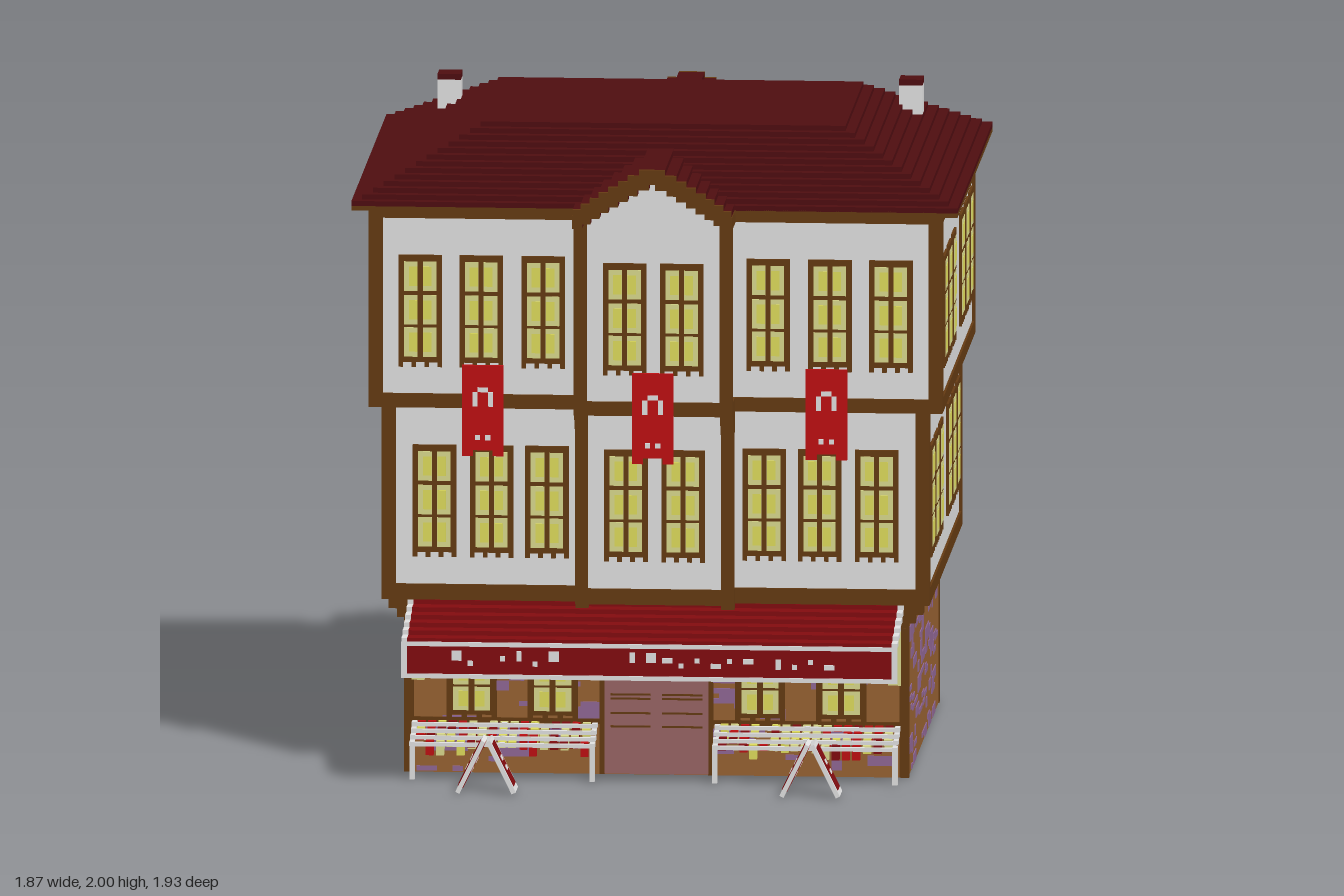
import * as THREE from 'three';
import { mergeGeometries } from 'three/addons/utils/BufferGeometryUtils.js';

const COLORS = {
  timber: 0x643a12, plaster: 0xe0e0e0, roofTile: 0x4e0d10, flagRed: 0xbe0f12, canopyRed: 0x820b0f,
  stone: 0x966132, purpleStone: 0x8f6694, door: 0x986464, glassBright: 0xdedb5c, glassPale: 0xd9d98c,
};

export function createModel() {
  const root = new THREE.Group();
  root.name = 'townHouse';
  const M = {};
  for (const [name, color] of Object.entries(COLORS)) {
    M[name] = new THREE.MeshStandardMaterial({ color });
    M[name].name = name;
  }
  let seed = 7;
  const rnd = () => (seed = (seed * 16807) % 2147483647) / 2147483647;

  // Box from its limits on each axis
  const box = (x0, x1, y0, y1, z0, z1) =>
    new THREE.BoxGeometry(x1 - x0, y1 - y0, z1 - z0).translate((x0 + x1) / 2, (y0 + y1) / 2, (z0 + z1) / 2);
  const add = (parent, name, mat, geos) => {
    const mesh = new THREE.Mesh(Array.isArray(geos) ? mergeGeometries(geos) : geos, M[mat]);
    mesh.name = name;
    parent.add(mesh);
    return mesh;
  };
  const group = (parent, name) => {
    const g = new THREE.Group();
    g.name = name;
    parent.add(g);
    return g;
  };
  const slab = (hx, y0, y1, hz) => box(-hx, hx, y0, y1, -hz, hz);
  const posts = (hx, y0, y1, hz, t) => [-1, 1].flatMap(i => [-1, 1].map(j =>
    slab(t / 2, y0, y1, t / 2).translate(i * (hx - t / 2), 0, j * (hz - t / 2))));

  // The house is symmetric front to back, so it gets its own centre
  const house = group(root, 'house');
  house.position.z = -0.095;

  // Shared window: frame, six panes and lighter patches
  const frameGeo = mergeGeometries([box(-0.067, 0.067, 0.015, 0.35, 0, 0.008),
    ...[-0.06, -0.02, 0.02, 0.06].map(x => box(x - 0.007, x + 0.007, 0, 0.015, 0, 0.008))]);
  const panes = [], glints = [];
  for (const x of [-0.029, 0.029]) for (const y of [0.032, 0.133, 0.238]) {
    panes.push(box(x - 0.021, x + 0.021, y, y + 0.092, 0.004, 0.0095));
    const gx = x - Math.sign(x) * 0.007;
    glints.push(box(gx - 0.013, gx + 0.013, y + 0.016, y + 0.076, 0.006, 0.011));
  }
  const paneGeo = mergeGeometries(panes), glintGeo = mergeGeometries(glints);
  const addWindow = (parent, x, y, z, sx = 1, sy = 1) => {
    const w = group(parent, 'window');
    add(w, 'windowFrame', 'timber', frameGeo);
    add(w, 'windowPanes', 'glassPale', paneGeo);
    add(w, 'windowGlints', 'glassBright', glintGeo);
    w.position.set(x, y, z);
    w.scale.set(sx, sy, 1);
  };

  // Scattered purple stones, thin plates snapped to a small grid
  const V = 0.0158;
  const stones = (parent, half, z, count, top) => {
    const list = [];
    for (let i = 0; i < count; i++) {
      const w = V * (2 + Math.floor(rnd() * 7)), h = V * (1 + Math.floor(rnd() * 2.3));
      const x = -half + V * Math.floor(rnd() * (2 * half - w) / V);
      const y = V * Math.floor(rnd() * (top - h) / V) + 0.004;
      list.push(box(x, x + w, y, y + h, z - 0.002, z + 0.003));
    }
    add(parent, 'purpleStones', 'purpleStone', list);
  };

  // Ground floor
  add(house, 'groundWalls', 'stone', slab(0.776, 0, 0.55, 0.67));
  add(house, 'groundCornerPosts', 'timber', posts(0.779, 0, 0.55, 0.673, 0.03));

  // Two timber framed storeys
  add(house, 'middleWalls', 'plaster', slab(0.838, 0.56, 1.17, 0.708));
  add(house, 'upperWalls', 'plaster', slab(0.878, 1.16, 1.77, 0.708));
  add(house, 'floorBeams', 'timber', [slab(0.845, 0.546, 0.595, 0.715),
    slab(0.885, 1.146, 1.19, 0.715), slab(0.885, 1.738, 1.775, 0.715)]);
  add(house, 'cornerPosts', 'timber', [...posts(0.845, 0.56, 1.17, 0.715, 0.043),
    ...posts(0.885, 1.16, 1.76, 0.715, 0.043)]);
  // Stepped brackets under the corners
  add(house, 'cornerBrackets', 'timber', [posts(0.825, 0.515, 0.55, 0.7, 0.06),
    posts(0.8, 0.485, 0.52, 0.685, 0.05)].flat());

  // Arched stepped gable outline for the bays
  const tiers = [0.245, 0.22, 0.192, 0.165, 0.135, 0.105, 0.075, 0.04];
  const outline = (inset, drop, y0) => {
    const left = [[-(tiers[0] - inset), y0]];
    tiers.forEach((hw, i) => {
      const y = 1.78 + (i + 1) * 0.018 - drop, next = tiers[i + 1];
      left.push([-(hw - inset), y]);
      if (next !== undefined) left.push([-(next - inset), y]);
    });
    return [...left, ...left.map(([x, y]) => [-x, y]).reverse()];
  };
  const extrude = (pts, z0, z1) => new THREE.ExtrudeGeometry(
    new THREE.Shape(pts.map(p => new THREE.Vector2(...p))), { depth: z1 - z0, bevelEnabled: false }).translate(0, 0, z0);
  const hood = [...outline(0, 0, 1.74), ...outline(0.03, 0.045, 1.74).reverse()];

  // Front and back: bays, windows, door and ground floor framing
  for (const back of [false, true]) {
    const f = group(house, back ? 'backFacade' : 'frontFacade');
    if (back) f.rotation.y = Math.PI;
    add(f, 'lowerBayWall', 'plaster', box(-0.238, 0.238, 0.56, 1.16, 0.6, 0.755));
    add(f, 'upperBayWall', 'plaster', extrude(outline(0.028, 0.044, 1.16), 0.6, 0.813));
    const bayTimber = [box(-0.245, 0.245, 0.546, 0.595, 0.6, 0.762), box(-0.245, 0.245, 1.146, 1.19, 0.6, 0.82)];
    for (const s of [-1, 1]) {
      const a = s * 0.225;
      bayTimber.push(box(a - 0.02, a + 0.02, 0.56, 1.16, 0.727, 0.762), box(a - 0.02, a + 0.02, 1.16, 1.77, 0.8, 0.82));
      for (let i = 0; i < 4; i++) bayTimber.push(
        box(a - 0.02, a + 0.02, 0.546 - (i + 1) * 0.021, 0.55 - i * 0.021, 0.65, 0.75 - i * 0.022),
        box(a - 0.02, a + 0.02, 1.146 - (i + 1) * 0.016, 1.15 - i * 0.016, 0.7, 0.81 - i * 0.013));
    }
    add(f, 'bayTimber', 'timber', bayTimber);
    add(f, 'bayRoof', 'roofTile', extrude(hood, 0.3, 0.857));
    add(f, 'bayFascia', 'timber', extrude(hood, 0.857, 0.872));
    add(f, 'bayEaveEdges', 'timber', [-1, 1].map(s =>
      box(s * 0.234 - 0.013, s * 0.234 + 0.013, 1.738, 1.779, 0.6, 0.872)));

    for (const s of [-1, 1]) {
      for (const x of [0.347, 0.538, 0.726]) addWindow(f, s * x, 1.273, 0.708);
      for (const x of [0.335, 0.506, 0.682]) addWindow(f, s * x, 0.68, 0.708);
      addWindow(f, s * 0.088, 1.273, 0.813);
      addWindow(f, s * 0.088, 0.68, 0.755);
      for (const x of [0.32, 0.57]) addWindow(f, s * x, 0.17, 0.672, 1.15, 0.8);
    }
    stones(f, 0.74, 0.67, 85, 0.53);
    const rails = [];
    for (const s of [-1, 1]) {
      for (const y of [0.157, 0.452]) rails.push(box(s * 0.47 - 0.3, s * 0.47 + 0.3, y, y + 0.016, 0.668, 0.676));
      rails.push(box(s * 0.167 - 0.008, s * 0.167 + 0.008, 0, 0.55, 0.668, 0.676));
    }
    add(f, 'groundRails', 'timber', rails);
    add(f, 'door', 'door', box(-0.16, 0.16, 0.003, 0.4, 0.668, 0.679));
    const grooves = [];
    for (const s of [-1, 1]) for (const y of [0.148, 0.19, 0.235, 0.248])
      grooves.push(box(s * 0.08 - 0.062, s * 0.08 + 0.062, y, y + 0.006, 0.676, 0.681));
    add(f, 'doorGrooves', 'timber', grooves);
  }

  // Sides: two groups of three windows on each storey
  for (const s of [-1, 1]) {
    const f = group(house, s > 0 ? 'leftSide' : 'rightSide');
    f.rotation.y = s * Math.PI / 2;
    for (const t of [-1, 1]) for (const x of [0.178, 0.367, 0.554]) {
      addWindow(f, t * x, 1.273, 0.878);
      addWindow(f, t * x, 0.68, 0.838);
    }
    stones(f, 0.635, 0.776, 95, 0.54);
  }

  // Stepped hip roof with chimneys
  add(house, 'eaves', 'timber', slab(0.935, 1.768, 1.785, 0.762));
  const steps = [];
  for (let i = 0; i < 13; i++) {
    const d = i * 0.031;
    steps.push(slab(0.935 - d, 1.782 + i * 0.0156, 1.7976 + i * 0.0156, 0.762 - d));
  }
  add(house, 'hipRoof', 'roofTile', steps);
  for (const s of [-1, 1]) {
    const c = group(house, 'chimney');
    add(c, 'chimneyStack', 'plaster', slab(0.036, 1.85, 1.982, 0.038));
    add(c, 'chimneyCap', 'roofTile', slab(0.036, 1.982, 2.0, 0.038));
    c.position.set(s * 0.712, 0, -0.385);
  }

  // Shop canopy: stepped sheet, valance and pale trim
  const canopy = group(root, 'canopy'), sheet = [], trim = [];
  for (let i = 0; i < 6; i++) {
    const z = 0.56 + i * 0.055, y = 0.53 - i * V * 0.9;
    sheet.push(box(-0.747, 0.747, y, y + V, z, z + 0.06));
    for (const s of [-1, 1]) trim.push(box(s * 0.756 - 0.009, s * 0.756 + 0.009, y, y + V, z, z + 0.06));
  }
  sheet.push(box(-0.747, 0.747, 0.362, 0.452, 0.882, 0.895));
  for (const y of [0.35, 0.45]) trim.push(box(-0.765, 0.765, y, y + 0.014, 0.88, 0.898));
  for (const s of [-1, 1]) trim.push(box(s * 0.756 - 0.009, s * 0.756 + 0.009, 0.35, 0.46, 0.88, 0.898));
  add(canopy, 'canopySheet', 'canopyRed', sheet);
  add(canopy, 'canopyTrim', 'plaster', trim);
  // Abstract dashes along the valance
  const dashes = [];
  for (let x = -0.66; x < 0.64; x += 0.05) if (rnd() > 0.25) {
    const y = 0.39 + V * Math.floor(rnd() * 2);
    dashes.push(box(x, x + V * (1 + Math.floor(rnd() * 2)), y, y + V * (1 + Math.floor(rnd() * 2)), 0.894, 0.898));
  }
  add(canopy, 'valanceDashes', 'plaster', dashes);

  for (const s of [-1, 1]) {
    // Lanterns beside the shop front
    add(root, 'lantern', 'glassPale', box(s * 0.735 - 0.02, s * 0.735 + 0.02, 0.29, 0.46, 0.57, 0.592));

    // Market stand with goods on stepped slats
    const stand = group(root, 'marketStand');
    stand.position.x = s * 0.467;
    const slats = [], goods = { flagRed: [], glassBright: [], canopyRed: [], glassPale: [] };
    const kinds = Object.keys(goods);
    for (let i = 0; i < 4; i++) {
      const z = 0.577 + i * 0.035, y = 0.148 - i * 0.0145;
      slats.push(box(-0.285, 0.285, y, y + 0.012, z + 0.022, z + 0.036));
      for (const x of [-0.278, 0, 0.278]) slats.push(box(x - 0.008, x + 0.008, y, y + 0.014, z, z + 0.036));
      for (let k = 0; k < 17; k++) if (rnd() > 0.2) {
        const x = -0.268 + k * 0.0318, drop = rnd() > 0.7 ? 0.03 : 0.004;
        goods[kinds[Math.floor(rnd() * 4)]].push(box(x, x + 0.024, y - drop, y + 0.015, z, z + 0.022));
      }
    }
    for (const x of [-0.278, 0.278]) slats.push(box(x - 0.008, x + 0.008, 0, 0.118, 0.7, 0.716));
    add(stand, 'standFrame', 'plaster', slats);
    for (const k of kinds) if (goods[k].length) add(stand, 'standGoods', k, goods[k]);

    // Folding pavement board
    const board = group(root, 'pavementBoard');
    board.position.set(s * 0.5, 0, 0.915);
    for (const t of [-1, 1]) {
      const leaf = group(board, 'boardLeaf');
      leaf.position.set(t * 0.047, 0.086, 0);
      leaf.rotation.z = t * 0.46;
      add(leaf, 'boardFrame', 'plaster', slab(0.007, -0.09, 0.09, 0.053));
      add(leaf, 'boardFace', 'canopyRed', slab(0.009, -0.072, 0.076, 0.038));
      add(leaf, 'boardMark', 'plaster', [slab(0.011, 0.012, 0.028, 0.016), slab(0.011, -0.02, -0.006, 0.016)]);
    }
  }

  // Swallow tailed hanging banners
  const tail = [[-0.064, 1.283], [-0.064, 1.0], [-0.03, 1.0], [-0.03, 1.018], [0.03, 1.018], [0.03, 1.0], [0.064, 1.0], [0.064, 1.283]];
  for (const [x, z] of [[-0.532, 0.626], [0, 0.734], [0.528, 0.626]]) {
    const b = group(root, 'banner');
    b.position.set(x, 0, z);
    add(b, 'bannerCloth', 'flagRed', extrude(tail, 0, 0.012));
    add(b, 'bannerMark', 'plaster', [box(-0.016, 0.016, 1.2, 1.215, 0.01, 0.015),
      ...[-0.024, 0.024].map(m => box(m - 0.008, m + 0.008, 1.155, 1.2, 0.01, 0.015)),
      ...[-0.016, 0.016].map(m => box(m - 0.008, m + 0.008, 1.05, 1.066, 0.01, 0.015))]);
  }
  return root;
}
